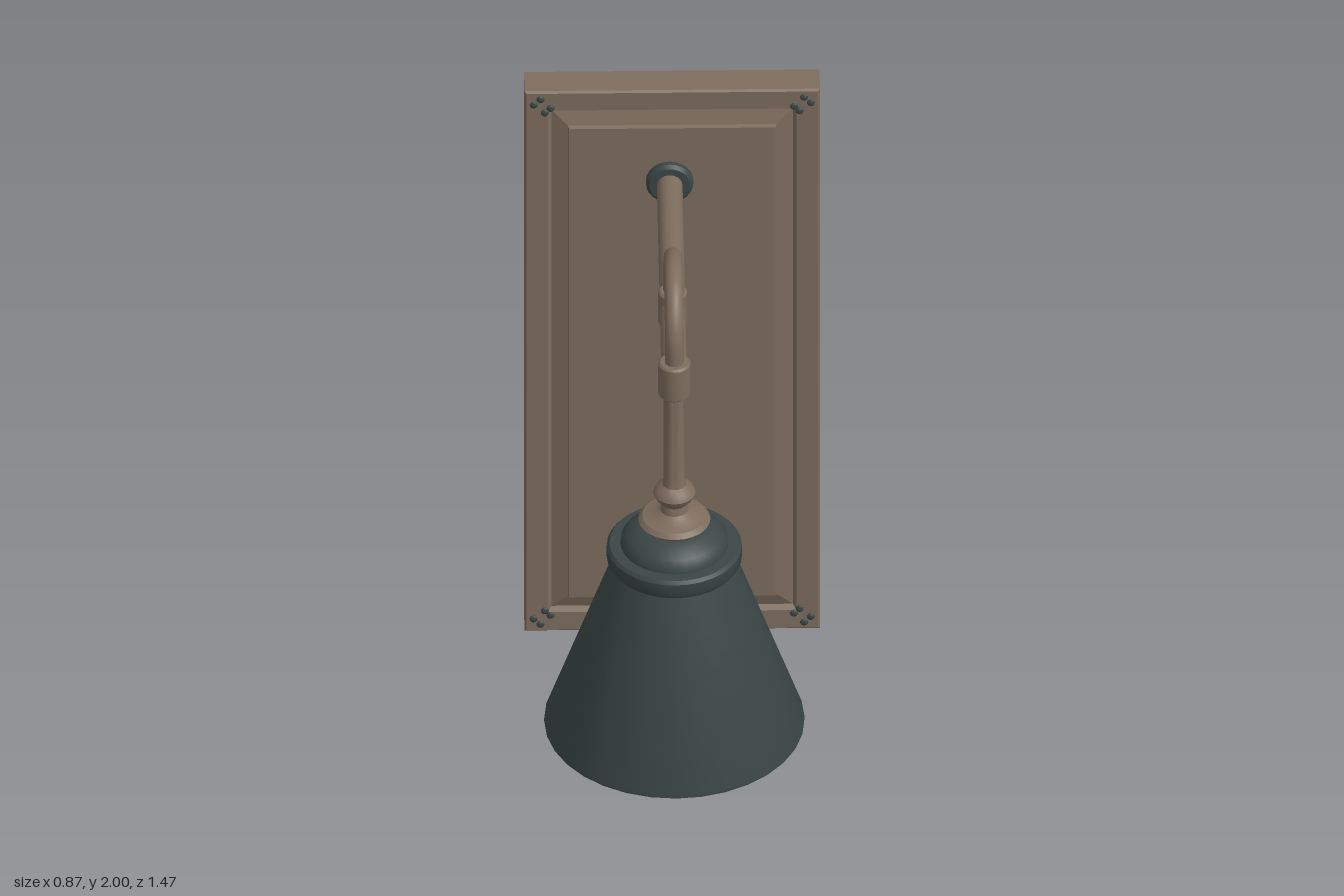
import * as THREE from 'three';
import { toCreasedNormals } from 'three/addons/utils/BufferGeometryUtils.js';

const LAMP_X = -0.008, LAMP_Z = 0.345, HOOK_Z = -0.005, ARM_Y = 1.675;

const material = (name, color) => {
  const m = new THREE.MeshStandardMaterial({ color });
  m.name = name;
  return m;
};

const lathe = (points, segments = 32) => toCreasedNormals(
  new THREE.LatheGeometry(points.map(([r, y]) => new THREE.Vector2(r, y)), segments), 0.6);

// Concentric rectangles, each inset from the outline, joined into mitred bands
function mitredPanel(halfW, halfH, profile) {
  const corners = [[-1, -1], [1, -1], [1, 1], [-1, 1]];
  const at = ([inset, z], i) => {
    const [sx, sy] = corners[i % 4];
    return [sx * (halfW - inset), sy * (halfH - inset), z];
  };
  const pos = [];
  for (let k = 0; k < profile.length - 1; k++) {
    for (let i = 0; i < 4; i++) {
      const a = at(profile[k], i), b = at(profile[k], i + 1);
      const c = at(profile[k + 1], i + 1), d = at(profile[k + 1], i);
      pos.push(...a, ...b, ...c, ...a, ...c, ...d);
    }
  }
  const g = new THREE.BufferGeometry();
  g.setAttribute('position', new THREE.Float32BufferAttribute(pos, 3));
  g.computeVertexNormals();
  return g;
}

export function createModel() {
  const group = new THREE.Group();
  group.name = 'wallLamp';
  const bronze = material('bronze', 0x7d6c5d);
  const slate = material('dark slate', 0x3b4646);
  const glass = material('white glass', 0xe6e6e6);

  const add = (name, geometry, mat, x = 0, y = 0, z = 0) => {
    const mesh = new THREE.Mesh(geometry, mat);
    mesh.name = name;
    mesh.position.set(x, y, z);
    group.add(mesh);
    return mesh;
  };

  // Framed backplate with recessed back and raised front field
  add('backplate', mitredPanel(0.437, 1, [
    [0.437, -0.722], [0.082, -0.722], [0.078, -0.732], [0.006, -0.735],
    [0, -0.73], [0, -0.636], [0.006, -0.63], [0.07, -0.632], [0.08, -0.65],
    [0.128, -0.634], [0.132, -0.622], [0.437, -0.622],
  ]), bronze, 0, 1, 0);

  // Four studs beside the mitre at each corner
  const stud = new THREE.SphereGeometry(0.012, 12, 8);
  stud.scale(1, 1, 0.5);
  for (const sx of [-1, 1]) for (const sy of [-1, 1]) {
    for (const [dx, dy] of [[0.027, 0.047], [0.047, 0.027], [0.06, 0.077], [0.077, 0.06]]) {
      add('cornerStud', stud, slate, sx * (0.437 - dx), 1 + sy * (1 - dy), -0.63);
    }
  }

  // Round mounts where the tubes meet the plate
  const rosette = lathe([[0, 0], [0.07, 0], [0.07, 0.018], [0.06, 0.028], [0, 0.028]], 24);
  rosette.rotateX(Math.PI / 2);
  for (const y of [ARM_Y, 0.28]) add('rosette', rosette, slate, LAMP_X, y, -0.625);

  // Straight arm
  const arm = new THREE.CylinderGeometry(0.038, 0.038, 0.95, 20);
  arm.rotateX(Math.PI / 2);
  add('arm', arm, bronze, LAMP_X, ARM_Y, -0.13);

  // Collars clamping the arm
  const collar = (r) => lathe([[0, -0.06], [r - 0.006, -0.06], [r, -0.054],
    [r, 0.054], [r - 0.006, 0.06], [0, 0.06]], 20);
  add('frontCollar', collar(0.048), bronze, LAMP_X, ARM_Y, LAMP_Z);
  add('rearCollar', collar(0.043), bronze, LAMP_X, ARM_Y, HOOK_Z);

  // Hook arch over the arm
  const arch = [new THREE.Vector3(0, 1.69, LAMP_Z)];
  const mid = (LAMP_Z + HOOK_Z) / 2, radius = (LAMP_Z - HOOK_Z) / 2;
  for (let i = 0; i <= 12; i++) {
    const a = Math.PI * i / 12;
    arch.push(new THREE.Vector3(0, 1.772 + radius * Math.sin(a), mid + radius * Math.cos(a)));
  }
  arch.push(new THREE.Vector3(0, 1.69, HOOK_Z));
  add('hookArch', new THREE.TubeGeometry(new THREE.CatmullRomCurve3(arch), 48, 0.028, 14),
    bronze, LAMP_X);

  // Curved brace from the rear collar back to the plate
  const brace = [[1.65, -0.005], [1.3, -0.016], [1, -0.03], [0.72, -0.055], [0.55, -0.097],
    [0.41, -0.18], [0.32, -0.275], [0.27, -0.4], [0.272, -0.5], [0.285, -0.61]]
    .map(([y, z]) => new THREE.Vector3(0, y, z));
  add('curvedBrace', new THREE.TubeGeometry(new THREE.CatmullRomCurve3(brace), 64, 0.027, 14),
    bronze, LAMP_X);

  // Hanging stem with turned bead and disc
  add('stem', lathe([[0.035, 1.11], [0.06, 1.135], [0.095, 1.14], [0.107, 1.153], [0.095, 1.167],
    [0.06, 1.175], [0.042, 1.19], [0.038, 1.215], [0.055, 1.235], [0.063, 1.252],
    [0.055, 1.27], [0.036, 1.285], [0.031, 1.31], [0.028, 1.63]], 24),
  bronze, LAMP_X, 0, LAMP_Z);

  // Conical shade, from the inner top down, round the rim and up the outside
  add('shade', lathe([[0, 1.04], [0.165, 1], [0.373, 0.405], [0.385, 0.405], [0.385, 0.415],
    [0.182, 1], [0.192, 1.002], [0.2, 1.015], [0.2, 1.055], [0.192, 1.065], [0.16, 1.066],
    [0.158, 1.082], [0.142, 1.103], [0.11, 1.125], [0.085, 1.132], [0, 1.132]], 32),
  slate, LAMP_X, 0, LAMP_Z);

  // Bulb with neck reaching into the shade
  const bulb = [];
  for (let i = 0; i <= 12; i++) {
    const a = -Math.PI / 2 + i * Math.PI * 0.8 / 12;
    bulb.push([Math.max(0, 0.18 * Math.cos(a)), 0.63 + 0.18 * Math.sin(a)]);
  }
  bulb.push([0.075, 0.86], [0.07, 1.02]);
  add('bulb', lathe(bulb, 24), glass, LAMP_X, 0, LAMP_Z);

  return group;
}
